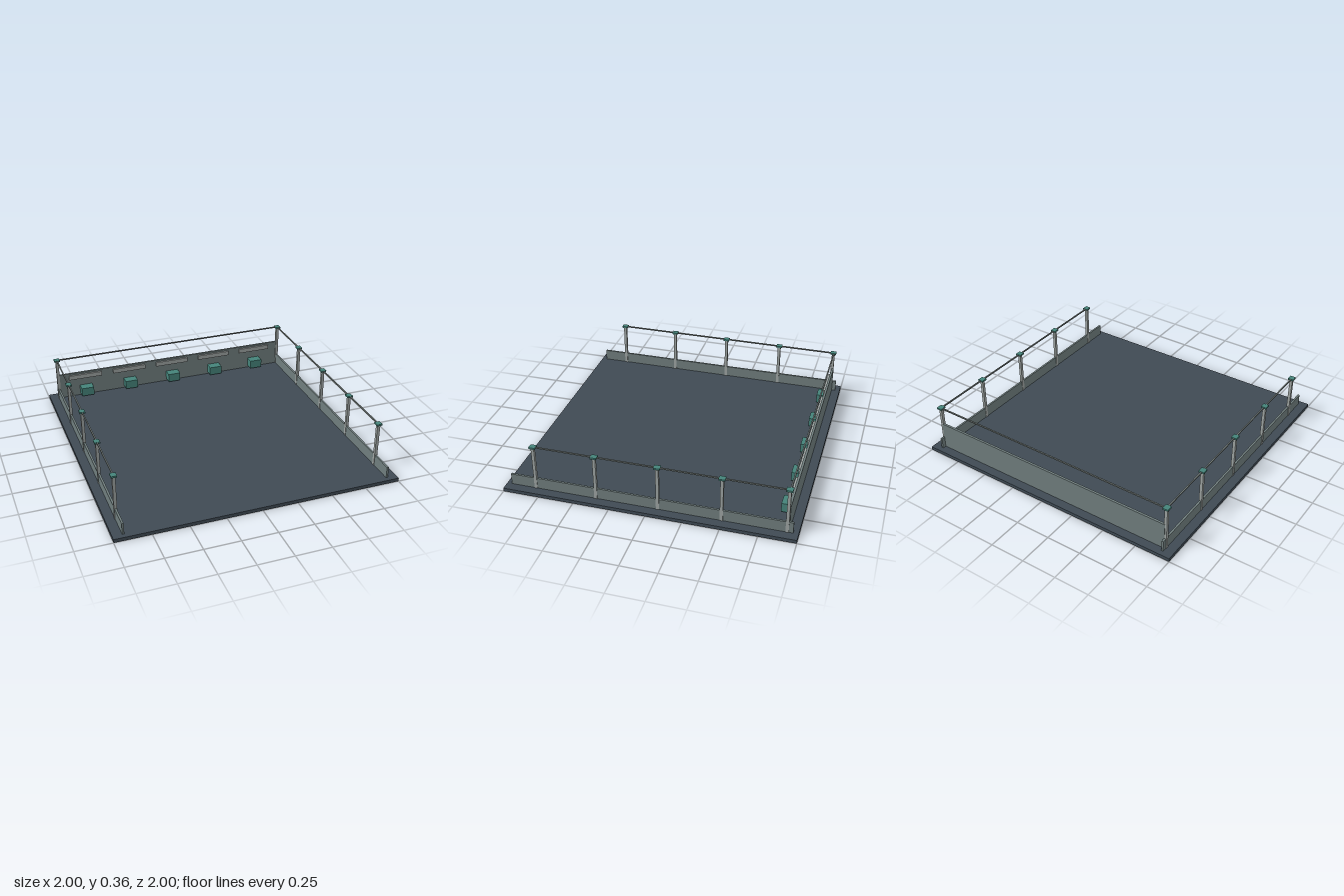
import * as THREE from 'three';

export function createModel() {
  const model = new THREE.Group();
  const material = (name, color) => {
    const m = new THREE.MeshStandardMaterial({ color });
    m.name = name;
    return m;
  };
  const slate = material('slate floor', 0x3f4a54);
  const wallGrey = material('wall grey', 0x6f7d7d);
  const metal = material('pale metal', 0x9da3a1);
  const railGrey = material('rail grey', 0x737c7a);
  const teal = material('teal', 0x45837a);

  // Box given by its size and centre
  const box = (name, mat, w, h, d, x, y, z) => {
    const mesh = new THREE.Mesh(new THREE.BoxGeometry(w, h, d), mat);
    mesh.name = name;
    mesh.position.set(x, y, z);
    model.add(mesh);
  };

  const edge = 0.928;
  const floorTop = 0.025;
  const railY = 0.35;
  const firstPost = 0.787;
  const postStep = 0.428;

  box('floor', slate, 2, floorTop, 2, 0, floorTop / 2, 0);
  box('backWall', wallGrey, 1.85, 0.195, 0.016, 0, 0.1225, -0.93);

  // Low side walls with railings
  for (const side of [-1, 1]) {
    const x = side * edge;
    box('sideWall', wallGrey, 0.014, 0.08, 1.93, x, 0.065, 0);
    box('sideRail', railGrey, 0.009, 0.009, postStep * 4, x, railY, firstPost - postStep * 2);
    for (let i = 0; i < 5; i++) {
      const z = firstPost - i * postStep;
      box('post', metal, 0.021, 0.322, 0.021, x, 0.186, z);
      box('postCap', teal, 0.04, 0.012, 0.043, x, railY, z);
    }
  }
  box('backRail', railGrey, edge * 2, 0.009, 0.009, 0, railY, -0.928);

  // Wall strips and the blocks beneath them
  for (let i = -2; i <= 2; i++) {
    const x = i * 0.357;
    box('wallStrip', metal, 0.262, 0.034, 0.014, x, 0.188, -0.915);
    box('wallBlock', teal, 0.097, 0.065, 0.07, x, 0.077, -0.887);
  }
  return model;
}
